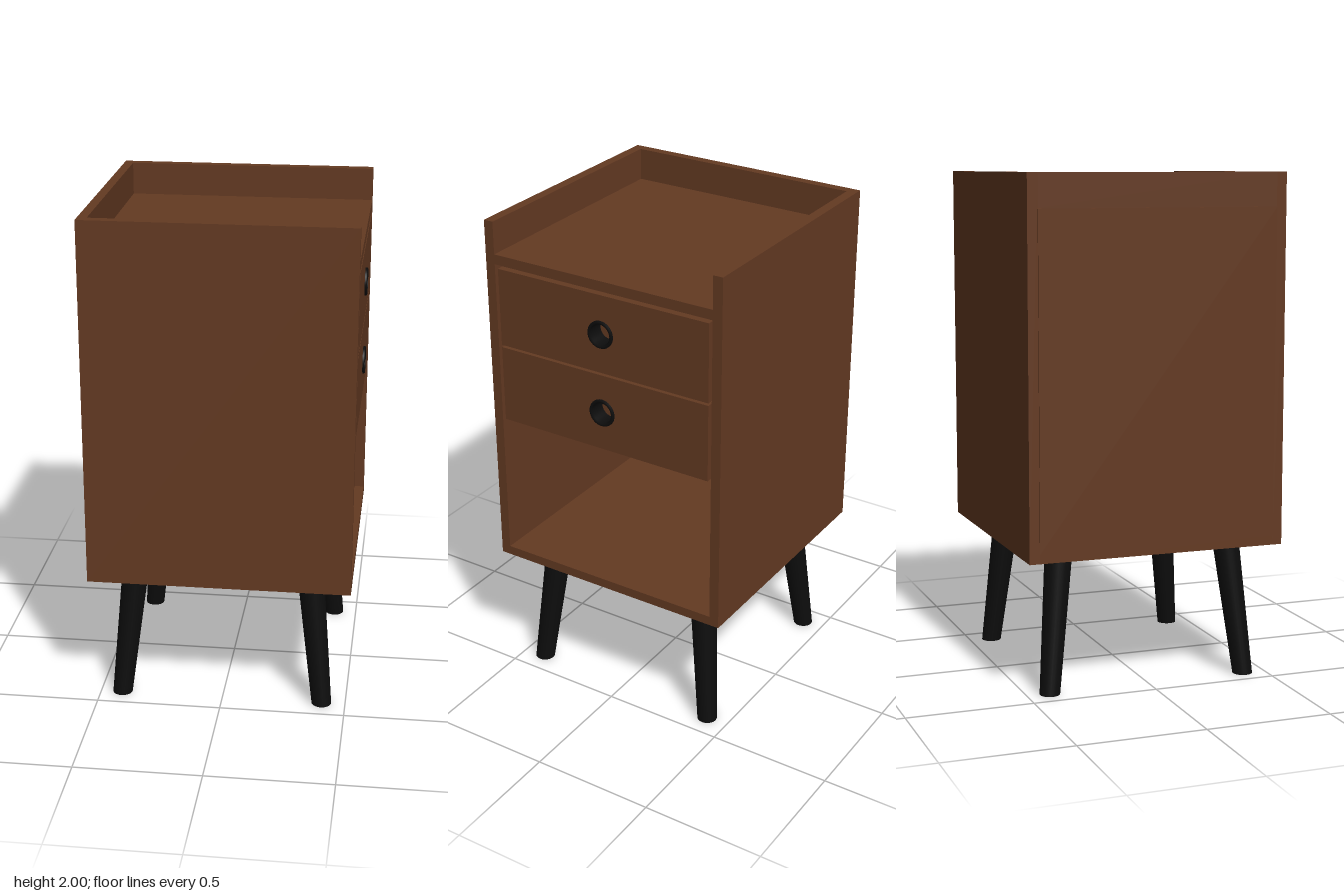
import * as THREE from 'three';

export function createModel() {
  const group = new THREE.Group();
  const wood = new THREE.MeshStandardMaterial({ color: 0x643a22 });
  wood.name = 'brown wood';
  const black = new THREE.MeshStandardMaterial({ color: 0x0d0d0d });
  black.name = 'black';

  const add = (name, geometry, material, parent = group) => {
    const mesh = new THREE.Mesh(geometry, material);
    mesh.name = name;
    parent.add(mesh);
    return mesh;
  };
  // Box given by its limits on each axis
  const box = (name, [x0, x1], [y0, y1], [z0, z1], parent) => {
    const g = new THREE.BoxGeometry(x1 - x0, y1 - y0, z1 - z0);
    g.translate((x0 + x1) / 2, (y0 + y1) / 2, (z0 + z1) / 2);
    return add(name, g, wood, parent);
  };

  // Cabinet shell, open towards +x
  const back = -0.522, front = 0.516, inner = 0.48, outer = 0.52;
  box('sideWallLeft', [back, front], [0.545, 2], [inner, outer]);
  box('sideWallRight', [back, front], [0.545, 2], [-outer, -inner]);
  box('floorPanel', [back, front], [0.545, 0.583], [-inner, inner]);
  box('topShelf', [back, front], [1.83, 1.87], [-inner, inner]);
  box('topRim', [back, -0.485], [1.87, 2], [-inner, inner]);
  box('backPanel', [-0.527, -0.5], [0.583, 1.868], [-inner, inner]);

  // Drawers: a front with a round finger hole, a body and a black ring pull
  const ringProfile = [
    [0.055, 0.51], [0.055, 0.521], [0.053, 0.525], [0.046, 0.525],
    [0.042, 0.521], [0.042, 0.456],
  ].map(([r, h]) => new THREE.Vector2(r, h));
  [[1.5, 1.815], [1.178, 1.49]].forEach(([y0, y1], i) => {
    const drawer = new THREE.Group();
    drawer.name = i ? 'lowerDrawer' : 'upperDrawer';
    group.add(drawer);
    const cy = (y0 + y1) / 2, w = 0.466, h = (y1 - y0) / 2;

    const face = new THREE.Shape([[-w, -h], [w, -h], [w, h], [-w, h]]
      .map(([a, b]) => new THREE.Vector2(a, b)));
    face.holes.push(new THREE.Path().absarc(0, 0, 0.046, 0, Math.PI * 2, true));
    const faceGeo = new THREE.ExtrudeGeometry(face, { depth: front - 0.456, bevelEnabled: false, curveSegments: 24 });
    faceGeo.rotateY(Math.PI / 2);
    faceGeo.translate(0.456, cy, 0);
    add('drawerFront', faceGeo, wood, drawer);
    box('drawerBody', [-0.5, 0.456], [y0, y1], [-w, w], drawer);

    const ring = new THREE.LatheGeometry(ringProfile, 32);
    ring.rotateZ(-Math.PI / 2);
    ring.translate(0, cy, 0);
    add('ringPull', ring, black, drawer);
  });

  // Tapered legs, sheared outwards so both ends stay level
  const legHeight = 0.545;
  for (const sx of [-1, 1]) {
    for (const sz of [-1, 1]) {
      const leg = new THREE.CylinderGeometry(0.054, 0.04, legHeight, 24);
      leg.translate(0, legHeight / 2, 0);
      const shear = -0.056 / legHeight;
      leg.applyMatrix4(new THREE.Matrix4().set(
        1, sx * shear, 0, sx * 0.408 - 0.004,
        0, 1, 0, 0,
        0, sz * shear, 1, sz * 0.408,
        0, 0, 0, 1));
      add('leg', leg, black);
    }
  }
  return group;
}
